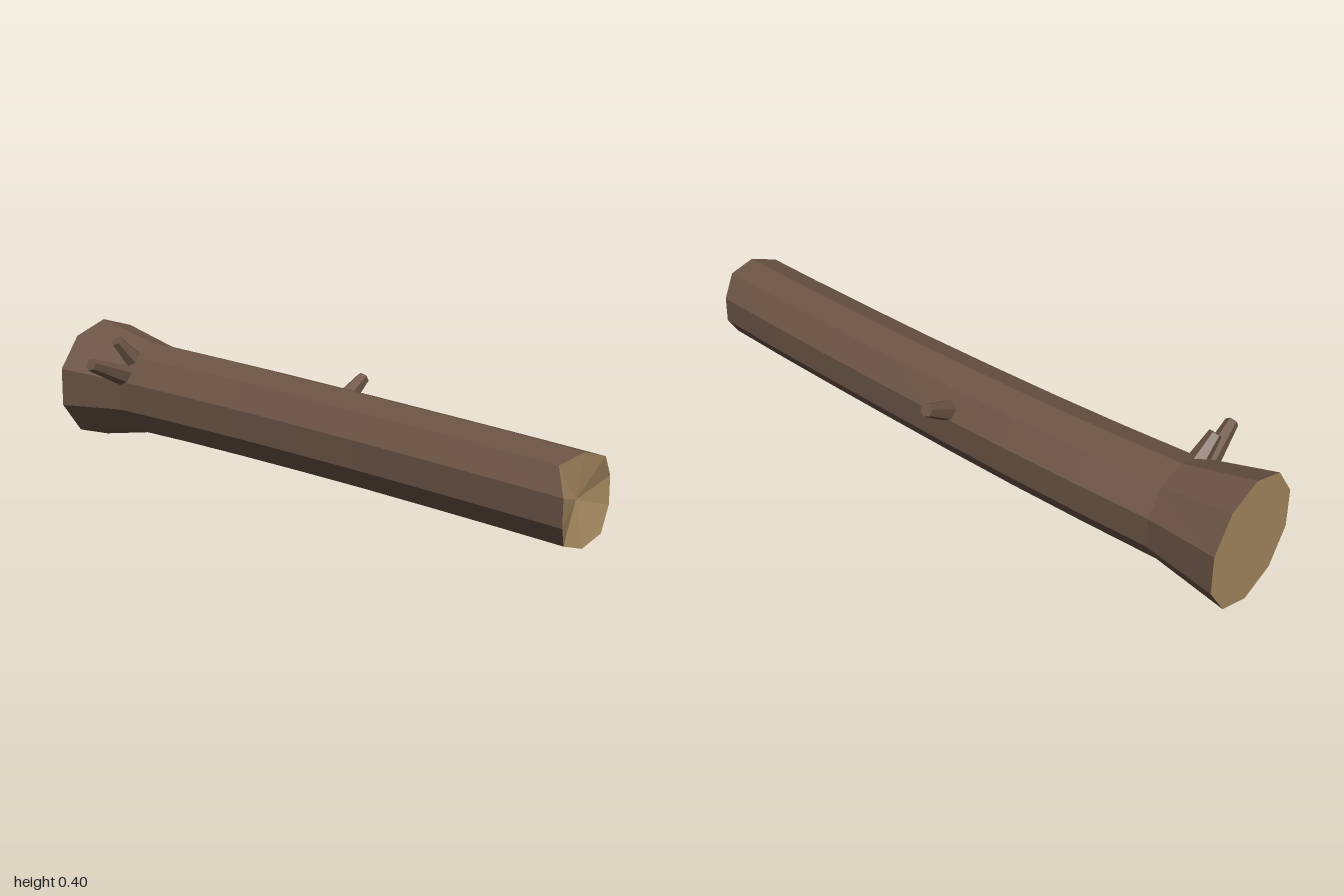
import * as THREE from 'three';

const SIDES = 10;
const CENTRE_Y = 0.2;

// Flat-shaded geometry from a list of triangles (each three Vector3)
function fromTriangles(triangles) {
  const geometry = new THREE.BufferGeometry().setFromPoints(triangles.flat());
  geometry.computeVertexNormals();
  return geometry;
}

// Cross-section of the trunk; xOffset(k) shifts single corners along the log
function makeRing(x, z, radius, xOffset) {
  return Array.from({ length: SIDES }, (_, k) => {
    const a = (k / SIDES) * Math.PI * 2;
    return new THREE.Vector3(
      x + xOffset(k, a),
      CENTRE_Y + Math.cos(a) * radius,
      z + Math.sin(a) * radius
    );
  });
}

export function createModel() {
  const log = new THREE.Group();
  log.name = 'log';
  const bark = new THREE.MeshStandardMaterial({ color: 0x6b5445, flatShading: true });
  bark.name = 'bark';
  const wood = new THREE.MeshStandardMaterial({ color: 0xa88b62, flatShading: true });
  wood.name = 'cutWood';

  function add(name, geometry, material) {
    const mesh = new THREE.Mesh(geometry, material);
    mesh.name = name;
    log.add(mesh);
    return mesh;
  }

  // Trunk stations: x, z of the bent centre line, radius
  const stations = [
    [-0.992, -0.009, 0.199],
    [-0.76, -0.022, 0.152],
    [-0.5, -0.032, 0.148],
    [-0.25, -0.037, 0.145],
    [0, -0.037, 0.142],
    [0.25, -0.034, 0.139],
    [0.5, -0.028, 0.137],
    [0.75, -0.02, 0.135],
  ];
  const rings = stations.map(([x, z, r], i) =>
    makeRing(x, z, r, (k, a) => Math.sin(a) * (i === 0 ? 0.008 : 0.004 - 0.001 * i)));

  // Broken end: every corner stops at its own length
  const brokenX = [0.973, 0.947, 1, 1, 0.972, 0.975, 0.98, 0.968, 0.968, 0.984];
  rings.push(makeRing(0, -0.01, 0.133, (k) => brokenX[k]));

  const sides = [];
  for (let i = 0; i < rings.length - 1; i++) {
    for (let k = 0; k < SIDES; k++) {
      const n = (k + 1) % SIDES;
      const a = rings[i][k], b = rings[i][n], c = rings[i + 1][n], d = rings[i + 1][k];
      sides.push([a, b, c], [a, c, d]);
    }
  }
  add('trunk', fromTriangles(sides), bark);

  // Cut faces as fans around a centre point
  function addCap(name, ring, centre, facesRight) {
    const fan = ring.map((p, k) => {
      const q = ring[(k + 1) % SIDES];
      return facesRight ? [centre, p, q] : [centre, q, p];
    });
    add(name, fromTriangles(fan), wood);
  }
  addCap('cutEnd', rings[0], new THREE.Vector3(-0.992, CENTRE_Y, -0.009), false);
  addCap('brokenEnd', rings[rings.length - 1], new THREE.Vector3(0.95, 0.198, -0.008), true);

  // Branch stubs: tapered, starting inside the trunk
  function addStub(name, base, tip) {
    const from = new THREE.Vector3(...base);
    const to = new THREE.Vector3(...tip);
    const direction = to.clone().sub(from);
    const geometry = new THREE.CylinderGeometry(0.02, 0.035, direction.length(), 6);
    const stub = add(name, geometry, bark);
    stub.position.copy(from).add(to).multiplyScalar(0.5);
    stub.quaternion.setFromUnitVectors(new THREE.Vector3(0, 1, 0), direction.normalize());
  }
  addStub('frontBranchStub', [-0.755, 0.258, 0.09], [-0.732, 0.33, 0.258]);
  addStub('upperBranchStub', [-0.75, 0.285, 0.042], [-0.768, 0.38, 0.121]);
  addStub('backBranchStub', [-0.025, 0.25, -0.135], [-0.037, 0.316, -0.257]);

  return log;
}
